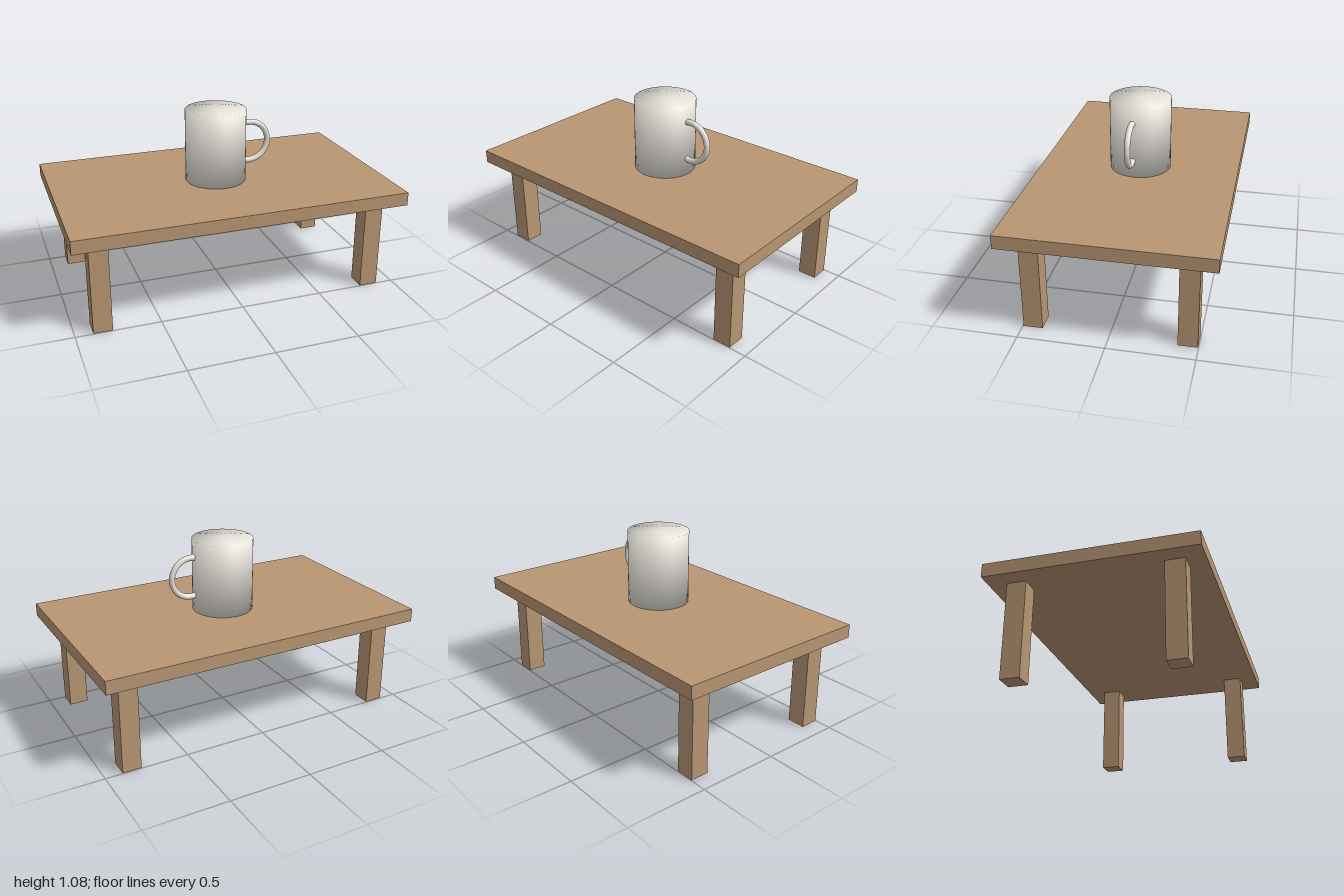
import * as THREE from 'three';

const wood = new THREE.MeshStandardMaterial({ color: 0xb89673 });
wood.name = 'wood';
const ceramic = new THREE.MeshStandardMaterial({ color: 0xe6e2da });
ceramic.name = 'ceramic';

function addMesh(parent, name, geometry, material, x, y, z) {
  const mesh = new THREE.Mesh(geometry, material);
  mesh.name = name;
  mesh.position.set(x, y, z);
  parent.add(mesh);
  return mesh;
}

// Closed cylinder whose normals blend smoothly from wall to caps
function softCylinder(radius, height) {
  const geometry = new THREE.CylinderGeometry(radius, radius, height, 48);
  const { position, normal } = geometry.attributes;
  const n = new THREE.Vector3();
  for (let i = 0; i < position.count; i++) {
    n.fromBufferAttribute(position, i);
    n.y *= (2 * radius) / height;
    n.normalize();
    normal.setXYZ(i, n.x, n.y, n.z);
  }
  return geometry;
}

export function createModel() {
  const model = new THREE.Group();
  model.name = 'tableWithMug';

  // Table
  const table = new THREE.Group();
  table.name = 'table';
  model.add(table);
  addMesh(table, 'tableTop', new THREE.BoxGeometry(2, 0.08, 1.2), wood, 0, 0.6, 0);
  const legGeometry = new THREE.BoxGeometry(0.112, 0.56, 0.112);
  for (const [side, x] of [['left', 0.84], ['right', -0.84]]) {
    for (const [end, z] of [['Front', 0.44], ['Back', -0.44]]) {
      addMesh(table, `${side}${end}Leg`, legGeometry, wood, x, 0.28, z);
    }
  }

  // Mug
  const mug = new THREE.Group();
  mug.name = 'mug';
  model.add(mug);
  addMesh(mug, 'mugBody', softCylinder(0.185, 0.443), ceramic, 0, 0.8615, 0);

  // Handle: a ring section with both ends buried in the mug wall
  const arc = Math.PI * 1.25;
  const handle = addMesh(mug, 'mugHandle',
    new THREE.TorusGeometry(0.122, 0.018, 16, 40, arc), ceramic, 0.21, 0.8625, 0.014);
  handle.rotation.z = -arc / 2;

  return model;
}
